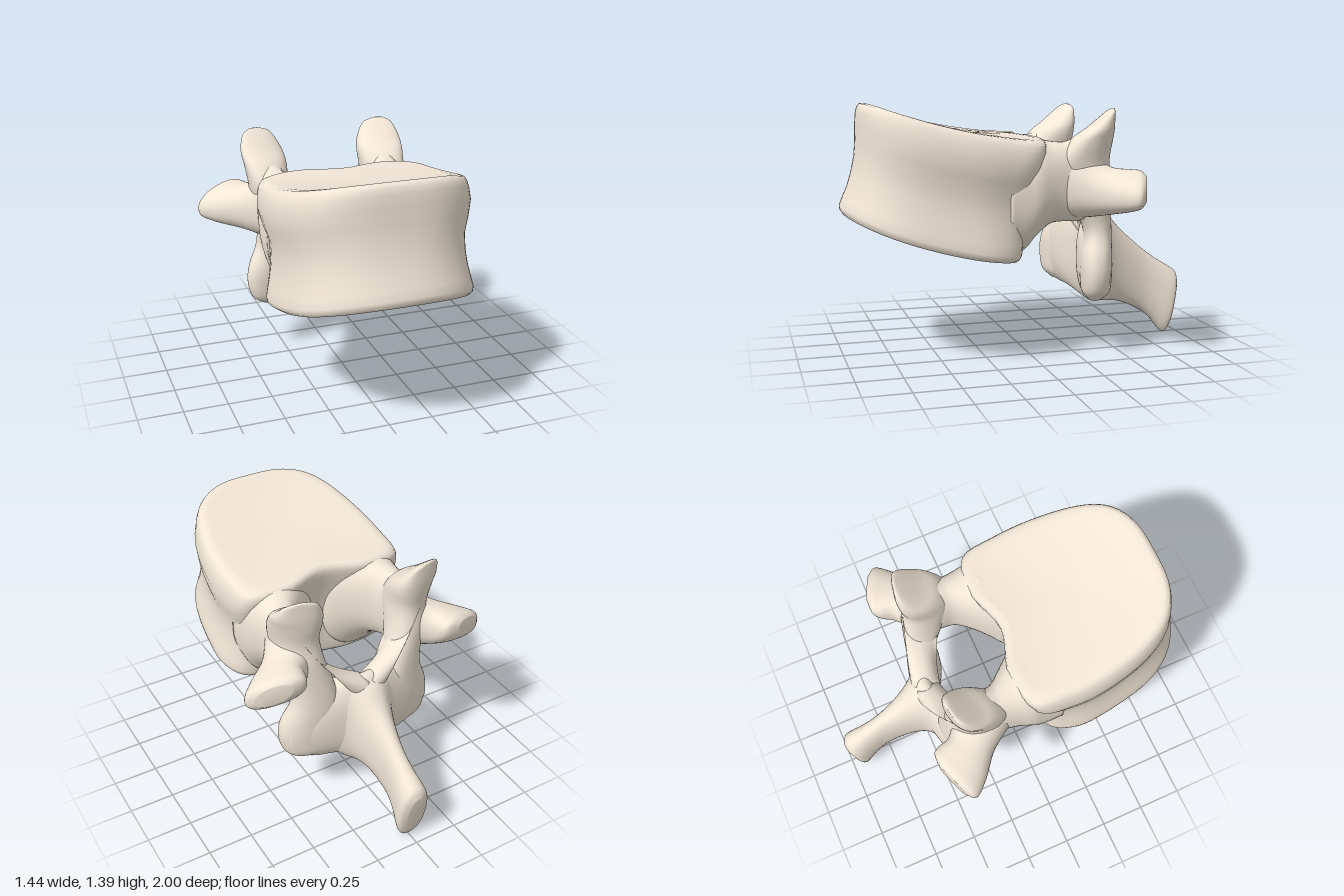
import * as THREE from 'three';

const material = new THREE.MeshStandardMaterial({ color: 0xf2e6d6 });
const SEG = 40;

// Closed smooth skin over a list of rings, both ends closed by a centre point
function skin(rings) {
  const pos = [], idx = [], n = rings[0].length;
  rings.forEach(r => r.forEach(p => pos.push(p.x, p.y, p.z)));
  for (let i = 0; i < rings.length - 1; i++)
    for (let j = 0; j < n; j++) {
      const a = i * n + j, b = i * n + (j + 1) % n;
      idx.push(a, b, b + n, a, b + n, a + n);
    }
  [0, rings.length - 1].forEach(i => {
    const c = new THREE.Vector3();
    rings[i].forEach(p => c.addScaledVector(p, 1 / n));
    const k = pos.push(c.x, c.y, c.z) / 3 - 1;
    for (let j = 0; j < n; j++) {
      const a = i * n + j, b = i * n + (j + 1) % n;
      if (i === 0) idx.push(k, b, a); else idx.push(k, a, b);
    }
  });
  // A negative enclosed volume means the faces point inward: turn them round
  const at = i => new THREE.Vector3().fromArray(pos, 3 * i);
  let volume = 0;
  for (let i = 0; i < idx.length; i += 3)
    volume += at(idx[i]).dot(at(idx[i + 1]).cross(at(idx[i + 2])));
  if (volume < 0) idx.reverse();
  const g = new THREE.BufferGeometry();
  g.setAttribute('position', new THREE.Float32BufferAttribute(pos, 3));
  g.setIndex(idx);
  g.computeVertexNormals();
  return g;
}

// Loft of rounded sections; each row is [centre, half axis u, half axis v]
function loft(rows, side = 1) {
  const [c, u, v] = [0, 1, 2].map(k => new THREE.CatmullRomCurve3(
    rows.map(r => new THREE.Vector3(r[k][0] * side, r[k][1], r[k][2])), false, 'catmullrom', 0.5));
  const round = s => Math.sign(s) * Math.abs(s) ** 0.88;
  const steps = (rows.length - 1) * 5, rings = [];
  for (let i = 0; i <= steps; i++) {
    const t = i / steps, C = c.getPoint(t), U = u.getPoint(t), V = v.getPoint(t);
    rings.push(Array.from({ length: SEG }, (_, j) => {
      const a = j / SEG * Math.PI * 2;
      return C.clone().addScaledVector(U, round(Math.cos(a))).addScaledVector(V, round(Math.sin(a)));
    }));
  }
  return skin(rings);
}

// Smooth closed outline from half of its points [x, z], front to back
function outline(half) {
  const other = half.slice(1, -1).reverse().map(([x, z]) => [-x, z]);
  const curve = new THREE.CatmullRomCurve3(
    [...half, ...other].map(([x, z]) => new THREE.Vector3(x, 0, z)), true, 'catmullrom', 0.5);
  return Array.from({ length: 72 }, (_, j) => curve.getPoint(j / 72));
}

// Main block: two sloping end plates, a narrow waist and rounded rims
function bodyGeometry() {
  const top = outline([[0, 0.88], [0.2, 0.865], [0.35, 0.785], [0.44, 0.63], [0.49, 0.4], [0.495, 0.18], [0.46, -0.02], [0.25, -0.07], [0, 0.0]]);
  const bottom = outline([[0, 1.005], [0.2, 0.975], [0.37, 0.88], [0.475, 0.71], [0.522, 0.42], [0.515, 0.24], [0.43, 0.11], [0.22, 0.08], [0, 0.11]]);
  const topY = (x, z) => 1.213 + 0.09 * z + 0.135 * z * z - 0.4 * x ** 4;
  const bottomY = z => 0.545 + 0.07 * z + 0.185 * z * z;
  // [height fraction, scale]
  const levels = [[0.06, 0.05], [0.05, 0.4], [0.02, 0.75], [0, 0.9], [0, 0.96], [0.02, 0.99], [0.06, 1],
    [0.14, 0.985], [0.25, 0.96], [0.38, 0.945], [0.52, 0.94], [0.66, 0.955], [0.8, 0.985], [0.9, 1.0],
    [0.95, 0.995], [0.985, 0.975], [1, 0.93], [0.997, 0.86], [0.98, 0.7], [0.965, 0.4], [0.96, 0.05]];
  return skin(levels.map(([t, s]) => top.map((p, j) => {
    const q = bottom[j], mid = 0.45;
    const zt = mid + (p.z - mid) * s, zb = mid + (q.z - mid) * s;
    const bulge = 1 + 0.07 * Math.exp(-(((t - 0.74) / 0.16) ** 2));
    const x = THREE.MathUtils.lerp(q.x, p.x, t) * s * bulge;
    return new THREE.Vector3(x,
      THREE.MathUtils.lerp(bottomY(zb), topY(x, zt), t), THREE.MathUtils.lerp(zb, zt, t));
  })));
}

export function createModel() {
  const model = new THREE.Group();
  model.name = 'vertebra';
  const add = (name, geometry) => {
    const mesh = new THREE.Mesh(geometry, material);
    mesh.name = name;
    model.add(mesh);
  };

  add('vertebralBody', bodyGeometry());

  // Bridges flaring out of the body toward the rear arch: [x, y, z, half width, half height]
  const pedicle = [
    [0.26, 0.89, 0.17, 0.22, 0.28], [0.26, 0.895, 0.07, 0.22, 0.305], [0.285, 0.94, 0.0, 0.195, 0.27],
    [0.31, 0.965, -0.08, 0.15, 0.225], [0.335, 0.97, -0.16, 0.11, 0.215], [0.34, 0.975, -0.25, 0.1, 0.22],
    [0.33, 0.95, -0.37, 0.08, 0.14],
  ].map(([x, y, z, w, h]) => [[x, y, z], [w, 0, 0], [0, h, 0]]);

  // Upper and lower joint horns in one pillar: [x, y, z, half width, half depth]
  const pillar = [
    [0.38, 1.362, -0.425, 0.03, 0.008], [0.37, 1.335, -0.41, 0.085, 0.027], [0.36, 1.26, -0.365, 0.12, 0.075],
    [0.35, 1.19, -0.315, 0.125, 0.12], [0.345, 1.08, -0.275, 0.115, 0.145], [0.33, 0.95, -0.31, 0.115, 0.13],
    [0.29, 0.8, -0.355, 0.115, 0.1], [0.28, 0.68, -0.38, 0.125, 0.08], [0.305, 0.56, -0.365, 0.15, 0.09],
    [0.32, 0.46, -0.36, 0.15, 0.09], [0.315, 0.36, -0.36, 0.13, 0.08], [0.3, 0.31, -0.36, 0.08, 0.04],
  ].map(([x, y, z, w, d]) => [[x, y, z], [w, 0, 0.2 * w], [0, 0, d]]);

  // Side wings with a flared, tilted end
  const wing = [
    [[0.35, 0.95, -0.25], [0.08, 0, 0.13], [0, 0.18, 0]],
    [[0.45, 0.925, -0.36], [0.075, -0.01, 0.1], [0, 0.13, 0]],
    [[0.525, 0.93, -0.445], [0.12, -0.03, 0.085], [0, 0.105, 0]],
    [[0.578, 0.94, -0.505], [0.14, -0.04, 0.06], [0, 0.083, 0]],
    [[0.598, 0.945, -0.533], [0.085, -0.03, 0.035], [0, 0.055, 0]],
  ];

  // Sloping shoulders from the upper joints down to the midline
  const shoulder = [
    [[0.34, 1.06, -0.32], [0.05, 0.1, 0], [0, 0, 0.1]],
    [[0.23, 0.9, -0.37], [0.08, 0.11, 0], [0, 0, 0.085]],
    [[0.12, 0.77, -0.415], [0.06, 0.11, 0], [0, 0, 0.08]],
    [[-0.02, 0.68, -0.45], [0.03, 0.11, 0], [0, 0, 0.08]],
  ];

  for (const [side, label] of [[1, 'left'], [-1, 'right']]) {
    add(label + 'Pedicle', loft(pedicle, side));
    add(label + 'ArticularProcesses', loft(pillar, side));
    add(label + 'TransverseProcess', loft(wing, side));
    add(label + 'LaminaShoulder', loft(shoulder, side));
  }

  // Plate closing the arch behind the canal: [x, y, z, half depth, half height]
  add('lamina', loft([
    [-0.44, 0.46, -0.36, 0.04, 0.07], [-0.31, 0.5, -0.37, 0.088, 0.2], [-0.16, 0.53, -0.4, 0.1, 0.25],
    [0, 0.515, -0.455, 0.085, 0.29],
    [0.16, 0.53, -0.4, 0.1, 0.25], [0.31, 0.5, -0.37, 0.088, 0.2], [0.44, 0.46, -0.36, 0.04, 0.07],
  ].map(([x, y, z, d, h]) => [[x, y, z], [0, 0, d], [0, h, 0]])));

  // Rear spine: [y, z, half width, half height, backward lean of the section]
  add('spinousProcess', loft([
    [0.52, -0.41, 0.3, 0.24, 0], [0.51, -0.46, 0.22, 0.275, 0], [0.49, -0.52, 0.135, 0.27, 0],
    [0.43, -0.62, 0.09, 0.22, 0],
    [0.345, -0.75, 0.065, 0.19, 0], [0.275, -0.84, 0.07, 0.185, -0.01], [0.205, -0.92, 0.086, 0.2, -0.02],
    [0.2, -0.955, 0.08, 0.175, -0.025], [0.2, -0.973, 0.045, 0.125, -0.025],
  ].map(([y, z, w, h, lean]) => [[0, y, z], [w, 0, 0], [0, h, lean]])));

  return model;
}
